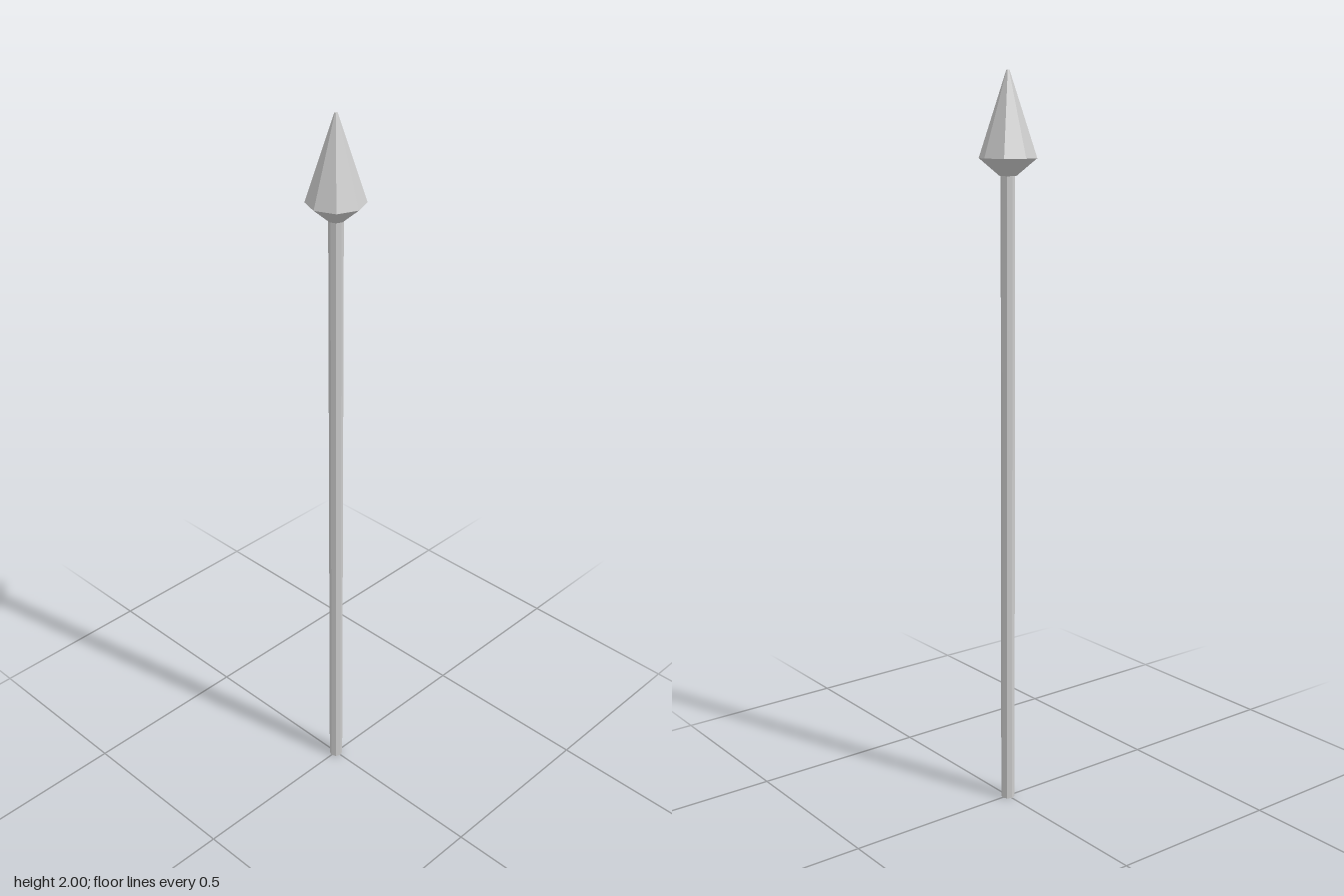
import * as THREE from 'three';

const SIDES = 8;

export function createModel() {
  const group = new THREE.Group();
  const material = new THREE.MeshStandardMaterial({ color: 0xcccccc, flatShading: true });

  // Turns a [radius, height] profile, listed bottom to top, into a faceted part
  const addTurned = (name, profile) => {
    const points = profile.map(([r, y]) => new THREE.Vector2(r, y));
    const mesh = new THREE.Mesh(new THREE.LatheGeometry(points, SIDES), material);
    mesh.name = name;
    group.add(mesh);
  };

  // Straight pole, closed at both ends
  addTurned('shaft', [[0, 0], [0.019, 0], [0.019, 1.74], [0, 1.74]]);

  // Spearhead: short flaring collar below a long point with a tiny blunt tip
  addTurned('spearhead', [[0, 1.735], [0.022, 1.735], [0.076, 1.78], [0.004, 2], [0, 2]]);

  return group;
}
